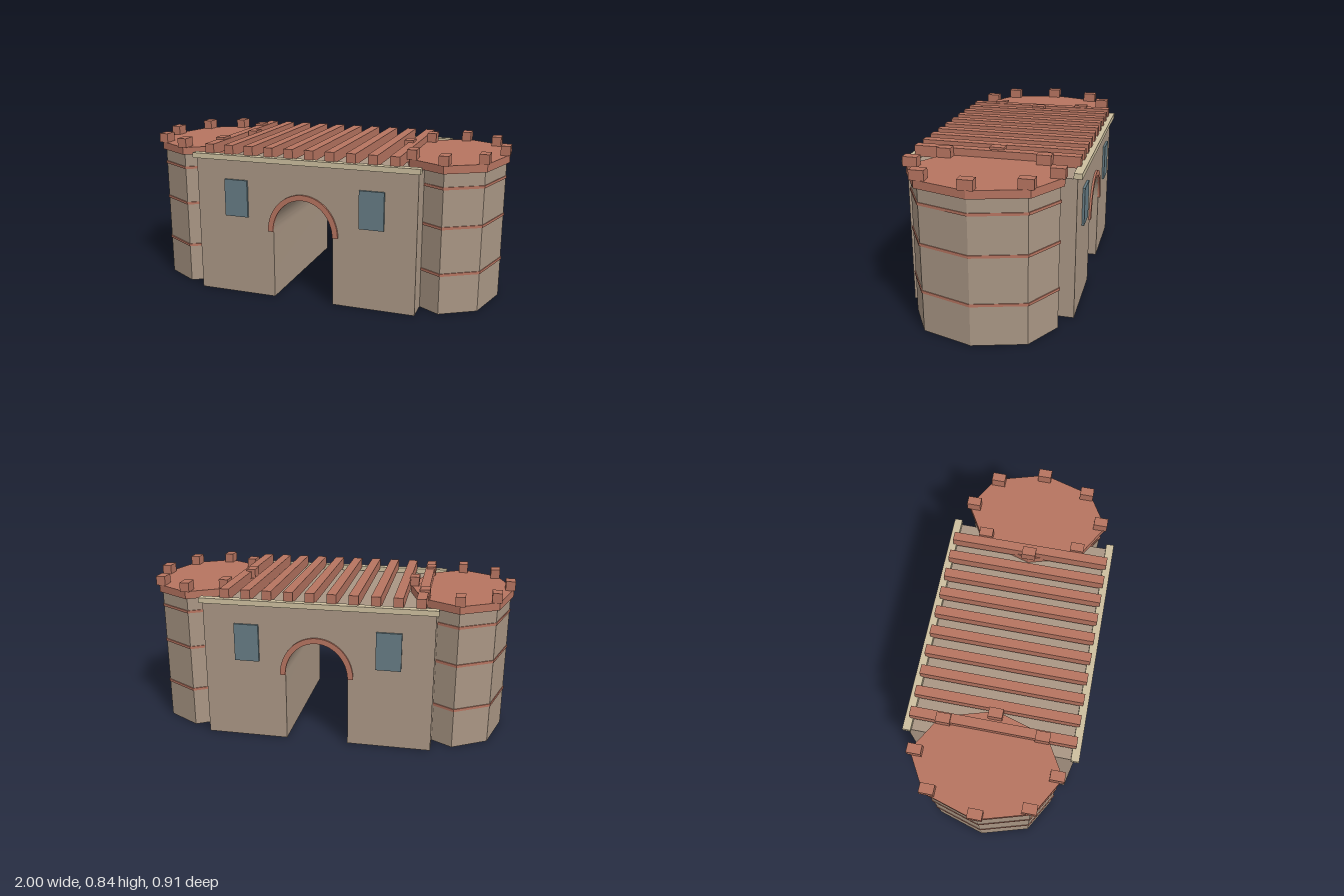
import * as THREE from 'three';
import { toCreasedNormals } from 'three/addons/utils/BufferGeometryUtils.js';

const mat = (name, color) => Object.assign(new THREE.MeshStandardMaterial({ color }), { name });

export function createModel() {
  const stone = mat('stone', 0xa99684);
  const brick = mat('terracotta', 0xb67460);
  const cream = mat('cream trim', 0xcdbf9f);
  const glass = mat('window blue grey', 0x667c84);
  const root = new THREE.Group();
  root.name = 'gatehouse';

  const add = (parent, name, geometry, material, x = 0, y = 0, z = 0) => {
    const mesh = new THREE.Mesh(geometry, material);
    mesh.name = name;
    mesh.position.set(x, y, z);
    parent.add(mesh);
    return mesh;
  };
  const box = (parent, name, material, w, h, d, x, y, z) =>
    add(parent, name, new THREE.BoxGeometry(w, h, d), material, x, y, z);

  // Faceted elliptical octagon prism between two heights
  const octagon = (rx, rz, y0, y1) => {
    const g = new THREE.CylinderGeometry(1, 1, y1 - y0, 8).toNonIndexed();
    g.scale(rx, 1, rz).translate(0, (y0 + y1) / 2, 0);
    g.computeVertexNormals();
    return g;
  };
  const extrude = (shape, depth) => toCreasedNormals(
    new THREE.ExtrudeGeometry(shape, { depth, bevelEnabled: false, curveSegments: 32 }), 0.4);

  // Main block with an arched passage
  const spring = 0.373, rx = 0.167, ry = 0.186;
  const wall = new THREE.Shape();
  wall.moveTo(-0.61, 0);
  wall.lineTo(-rx, 0);
  wall.lineTo(-rx, spring);
  wall.absellipse(0, spring, rx, ry, Math.PI, 0, true);
  wall.lineTo(rx, 0);
  wall.lineTo(0.61, 0);
  wall.lineTo(0.61, 0.745);
  wall.lineTo(-0.61, 0.745);
  wall.closePath();
  add(root, 'gateBlock', extrude(wall, 0.86), stone, 0, 0, -0.43);

  // Arch surround profile
  const ring = new THREE.Shape();
  ring.moveTo(0.196, spring);
  ring.absellipse(0, spring, 0.196, 0.215, 0, Math.PI, false);
  ring.lineTo(-rx, spring);
  ring.absellipse(0, spring, rx, ry, Math.PI, 0, true);
  ring.closePath();
  const ringGeometry = extrude(ring, 0.016);

  // Front and back dressing: arch surround, cornice, windows
  for (const s of [1, -1]) {
    const face = new THREE.Group();
    face.name = s > 0 ? 'frontFace' : 'backFace';
    root.add(face);
    add(face, 'archSurround', ringGeometry, brick, 0, 0, s > 0 ? 0.425 : -0.441);
    box(face, 'cornice', cream, 1.244, 0.028, 0.042, 0, 0.762, s * 0.433);
    for (const x of [-0.378, 0.375])
      box(face, 'window', glass, 0.132, 0.202, 0.02, x, 0.54, s * 0.432);
  }

  // Roof beams
  for (let i = 0; i < 10; i++)
    box(root, 'roofBeam', brick, 0.05, 0.058, 0.856, -0.532 + i * 0.1133, 0.795, 0);

  // Octagonal towers
  for (const s of [1, -1]) {
    const tower = new THREE.Group();
    tower.name = s > 0 ? 'leftTower' : 'rightTower';
    tower.position.x = s * 0.72;
    root.add(tower);
    add(tower, 'towerShaft', octagon(0.262, 0.37, 0, 0.745), stone);
    for (const y of [0.215, 0.463, 0.668])
      add(tower, 'towerBand', octagon(0.266, 0.376, y - 0.007, y + 0.007), brick);
    add(tower, 'towerCap', octagon(0.277, 0.39, 0.745, 0.786), brick);
    for (let i = 0; i < 8; i++) {
      const a = i * Math.PI / 4;
      box(tower, 'merlon', brick, 0.05, 0.05, 0.074, Math.cos(a) * 0.255, 0.811, Math.sin(a) * 0.36);
    }
  }
  return root;
}
